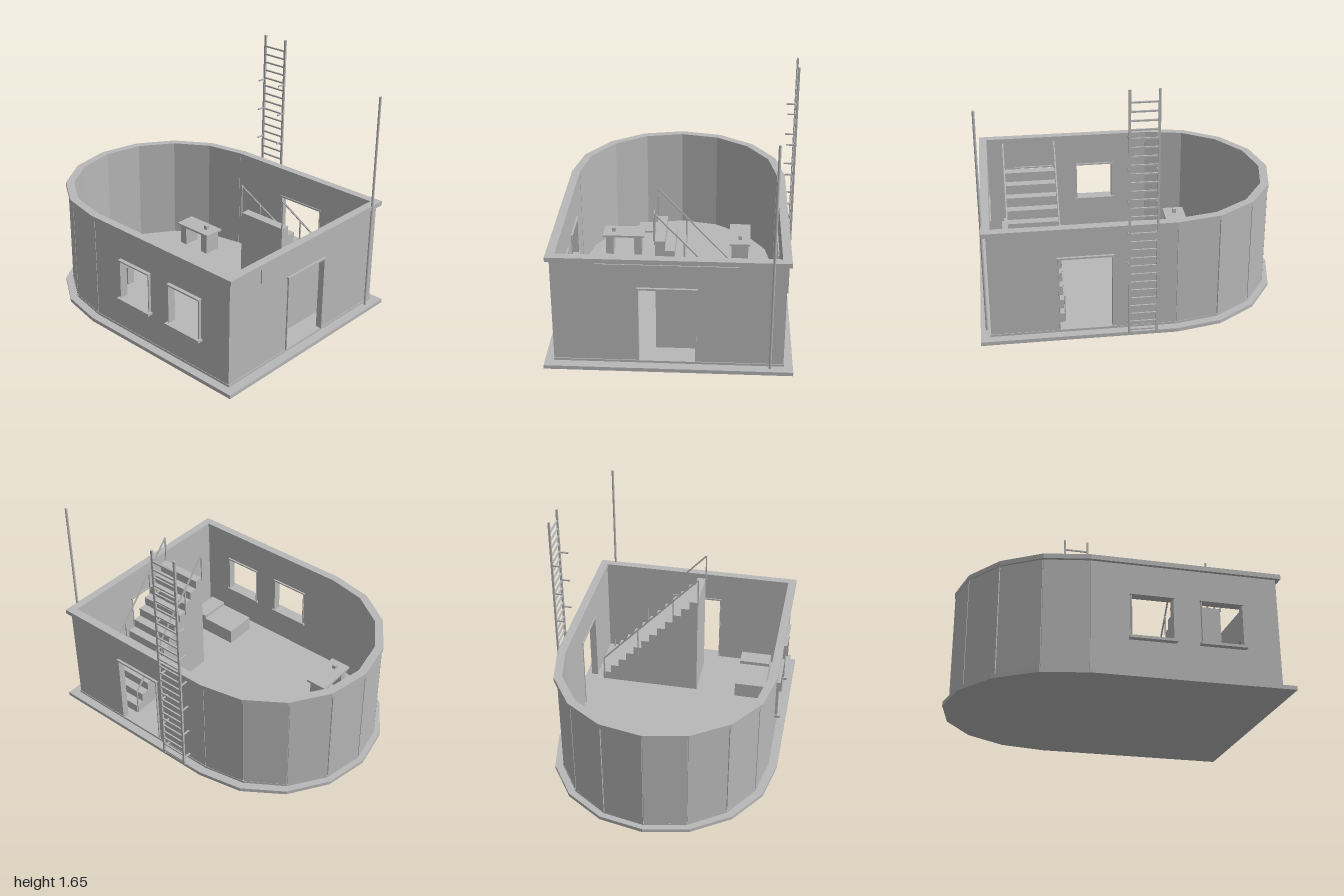
import * as THREE from 'three';

const grey = new THREE.MeshStandardMaterial({ color: 0xb8b8b8 });
grey.name = 'concrete grey';

const CX = -0.235; // centre of the rounded end
const arc = (rx, rz) => Array.from({ length: 9 }, (_, i) => {
  const a = Math.PI / 2 + i * Math.PI / 8;
  return new THREE.Vector2(CX + rx * Math.cos(a), rz * Math.sin(a));
});
// plan outline: half-round end plus straight end at xr
const plan = (rx, rz, xr) => [new THREE.Vector2(xr, rz), ...arc(rx, rz), new THREE.Vector2(xr, -rz)];

function add(parent, name, geo, x = 0, y = 0, z = 0) {
  const m = new THREE.Mesh(geo, grey);
  m.name = name;
  m.position.set(x, y, z);
  parent.add(m);
  return m;
}

// box given by its extents
const box = (p, name, x0, x1, y0, y1, z0, z1) =>
  add(p, name, new THREE.BoxGeometry(x1 - x0, y1 - y0, z1 - z0), (x0 + x1) / 2, (y0 + y1) / 2, (z0 + z1) / 2);

// square bar between two points
function bar(p, name, a, b, w) {
  const A = new THREE.Vector3(...a), B = new THREE.Vector3(...b);
  const m = add(p, name, new THREE.BoxGeometry(w, w, A.distanceTo(B)));
  m.position.copy(A).add(B).multiplyScalar(0.5);
  m.lookAt(B);
  return m;
}

const extrude = (shape, depth) => new THREE.ExtrudeGeometry(shape, { depth, bevelEnabled: false });

// horizontal slab from a plan outline, optionally hollow
function slab(p, name, pts, y0, y1, hole) {
  const s = new THREE.Shape(pts);
  if (hole) s.holes.push(new THREE.Path(hole));
  return add(p, name, extrude(s, y1 - y0).rotateX(-Math.PI / 2), 0, y0, 0);
}

const rect = (T, x0, x1, y0, y1) => new T([[x0, y0], [x1, y0], [x1, y1], [x0, y1]].map(q => new THREE.Vector2(...q)));

// upright wall with rectangular openings [x0, x1, y0, y1]
function wallGeo(u0, u1, openings, t) {
  const s = rect(THREE.Shape, u0, u1, 0.025, 0.74);
  openings.forEach(o => s.holes.push(rect(THREE.Path, ...o)));
  return extrude(s, t);
}

export function createModel() {
  const g = new THREE.Group();
  g.name = 'roundEndedBuilding';
  const body = new THREE.Group();
  body.name = 'shell';
  body.position.z = 0.005;
  g.add(body);

  // base, floor and parapet cap
  slab(body, 'base', plan(0.765, 0.765, 1), 0, 0.025);
  slab(body, 'floor', plan(0.727, 0.71, 0.94), 0.025, 0.04);
  slab(body, 'parapetCap', plan(0.73, 0.73, 0.962), 0.735, 0.765, plan(0.675, 0.675, 0.908));

  // curved wall: inner band with separate outer panels
  slab(body, 'curvedWallCore', [...arc(0.715, 0.697), ...arc(0.675, 0.675).reverse()], 0.04, 0.737);
  const outer = arc(0.727, 0.708), inner = arc(0.712, 0.694);
  for (let i = 0; i < 8; i++) {
    const q = (arr, t) => arr[i].clone().lerp(arr[i + 1], t);
    slab(body, 'curvedPanel', [q(outer, 0.012), q(outer, 0.988), q(inner, 0.988), q(inner, 0.012)], 0.04, 0.737);
  }

  // straight walls with windows and doors
  const windows = [[0.013, 0.267, 0.265, 0.53], [0.447, 0.7, 0.265, 0.53]];
  add(body, 'frontWall', wallGeo(CX, 0.935, windows, 0.03), 0, 0, 0.677);
  add(body, 'backWall', wallGeo(CX, 0.935, [[0.17, 0.5, 0.04, 0.55]], 0.03), 0, 0, -0.707);
  add(body, 'sideWall', wallGeo(-0.677, 0.677, [[-0.18, 0.165, 0.04, 0.55]], 0.027).rotateY(Math.PI / 2), 0.908, 0, 0);

  // window sills, heads and jambs
  for (const [x0, x1, y0, y1] of windows) {
    box(g, 'windowSill', x0 - 0.018, x1 + 0.018, y0 - 0.017, y0, 0.667, 0.75);
    box(g, 'windowHead', x0 - 0.01, x1 + 0.01, y1, y1 + 0.01, 0.67, 0.737);
    for (const x of [x0 - 0.006, x1]) box(g, 'windowJamb', x, x + 0.006, y0, y1, 0.674, 0.73);
  }

  // door frames
  box(g, 'sideDoorHead', 0.9, 0.95, 0.55, 0.562, -0.173, 0.197);
  box(g, 'backDoorHead', 0.157, 0.513, 0.55, 0.562, -0.718, -0.665);
  for (const z of [-0.166, 0.185]) box(g, 'sideDoorJamb', 0.903, 0.945, 0.04, 0.55, z, z + 0.006);
  for (const x of [0.164, 0.5]) box(g, 'backDoorJamb', x, x + 0.006, 0.04, 0.55, -0.715, -0.668);

  // blank sign panel and pole
  box(g, 'signPanel', 0.93, 0.943, 0.625, 0.72, -0.42, 0.443);
  add(g, 'pole', new THREE.CylinderGeometry(0.008, 0.008, 1.49, 8), 0.96, 0.77, -0.62);

  // ladder on the back wall
  const ladder = new THREE.Group();
  ladder.name = 'ladder';
  g.add(ladder);
  for (const x of [-0.102, 0.072]) {
    box(ladder, 'ladderRail', x - 0.007, x + 0.007, 0.018, 1.655, -0.77, -0.757);
    for (let i = 0; i < 7; i++) bar(ladder, 'ladderBracket', [x, 0.072 + i * 0.2115, -0.765], [x, 0.072 + i * 0.2115, -0.705], 0.009);
  }
  for (let i = 0; i < 28; i++) {
    const y = 1.577 - i * 0.0567;
    bar(ladder, 'ladderRung', [-0.102, y, -0.764], [0.072, y, -0.764], 0.01);
  }

  // solid staircase rising towards the front
  const stairs = new THREE.Group();
  stairs.name = 'stairs';
  g.add(stairs);
  const N = 12, run = 0.705 / N, rise = 0.76 / N;
  const prof = new THREE.Shape().moveTo(-0.09, 0.04).lineTo(0.615, 0.04);
  for (let i = 0; i < N; i++) {
    prof.lineTo(0.615 - i * run, 0.04 + (i + 1) * rise);
    prof.lineTo(0.615 - (i + 1) * run, 0.04 + (i + 1) * rise);
  }
  add(stairs, 'steps', extrude(prof, 0.33).rotateY(Math.PI / 2), 0.465, 0, 0);
  const railY = z => 0.988 + (z - 0.093) * 1.09;
  for (const x of [0.463, 0.797]) {
    bar(stairs, 'handrail', [x, railY(0.093), 0.093], [x, railY(-0.605), -0.605], 0.009);
    for (const z of [0.093, -0.085, -0.345, -0.605])
      box(stairs, 'railPost', x - 0.004, x + 0.004, Math.max(railY(z) - 0.21, 0.04), railY(z), z - 0.004, z + 0.004);
  }

  // two desks with a small item on each
  function desk(x0, x1, z0, z1, ix, iz) {
    const d = new THREE.Group();
    d.name = 'desk';
    g.add(d);
    box(d, 'deskTop', x0, x1, 0.185, 0.2, z0, z1);
    const alongX = x1 - x0 > z1 - z0;
    for (const s of [0, 1]) {
      if (alongX) { const x = s ? x1 - 0.075 : x0 + 0.02; box(d, 'deskPedestal', x, x + 0.055, 0.04, 0.185, z0 + 0.015, z1 - 0.015); }
      else { const z = s ? z1 - 0.075 : z0 + 0.02; box(d, 'deskPedestal', x0 + 0.015, x1 - 0.015, 0.04, 0.185, z, z + 0.055); }
    }
    box(d, 'deskItem', ix - 0.013, ix + 0.013, 0.2, 0.23, iz - 0.013, iz + 0.013);
  }
  desk(-0.57, -0.265, -0.51, -0.36, -0.345, -0.435);
  desk(-0.5, -0.35, 0.255, 0.555, -0.425, 0.48);

  // chair
  const chair = new THREE.Group();
  chair.name = 'chair';
  g.add(chair);
  box(chair, 'chairSeat', -0.705, -0.565, 0.115, 0.127, 0.205, 0.313);
  box(chair, 'chairBack', -0.7, -0.57, 0.175, 0.235, 0.199, 0.207);
  for (const x of [-0.692, -0.578]) {
    bar(chair, 'chairFrontLeg', [x, 0.04, 0.317], [x, 0.12, 0.308], 0.01);
    bar(chair, 'chairBackLeg', [x, 0.04, 0.203], [x, 0.235, 0.203], 0.01);
  }

  // bed with pillow
  box(g, 'bed', 0.445, 0.83, 0.04, 0.15, 0.378, 0.597);
  box(g, 'pillow', 0.695, 0.813, 0.15, 0.175, 0.378, 0.597);

  return g;
}
